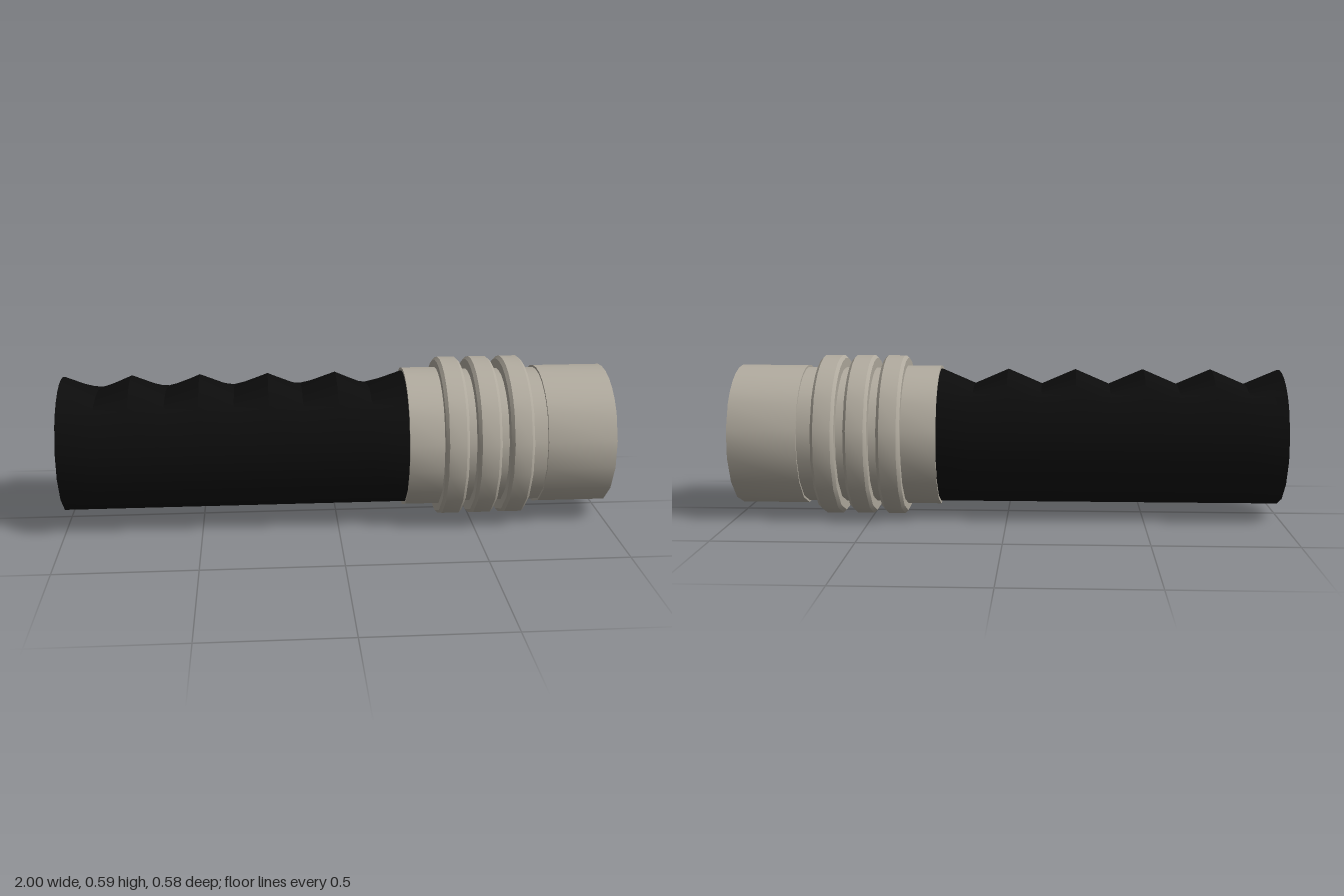
import * as THREE from 'three';
import { toCreasedNormals } from 'three/addons/utils/BufferGeometryUtils.js';

const CENTER_Y = 0.292;

// Sixteen-sided outline with extra points along the top arc, in degrees
const angles = [];
for (let a = 45; a <= 135; a += 11.25) angles.push(a);
for (let a = 146.25; a < 400; a += 22.5) angles.push(a);

// Closed loft along x; each section is [x, radius, dip of the top]
function loft(sections) {
  const n = angles.length;
  const pos = [];
  const index = [];
  for (const [x, r, dip = 0] of sections) {
    for (const deg of angles) {
      const t = THREE.MathUtils.degToRad(deg);
      const fall = THREE.MathUtils.smoothstep(Math.sin(t), 0.6, 0.99);
      pos.push(x, r * Math.sin(t) - dip * fall, r * Math.cos(t));
    }
  }
  for (let i = 0; i < sections.length - 1; i++) {
    for (let j = 0; j < n; j++) {
      const k = (j + 1) % n;
      const a = i * n + j, b = a + n, d = i * n + k, c = d + n;
      index.push(a, b, d, b, c, d);
    }
  }
  // Flat end caps
  const low = pos.length / 3, high = low + 1;
  const last = (sections.length - 1) * n;
  pos.push(sections[0][0], 0, 0, sections[sections.length - 1][0], 0, 0);
  for (let j = 0; j < n; j++) {
    const k = (j + 1) % n;
    index.push(low, j, k, high, last + k, last + j);
  }
  const g = new THREE.BufferGeometry();
  g.setAttribute('position', new THREE.Float32BufferAttribute(pos, 3));
  g.setIndex(index);
  return toCreasedNormals(g, THREE.MathUtils.degToRad(32));
}

export function createModel() {
  const group = new THREE.Group();
  const metal = new THREE.MeshStandardMaterial({ color: 0xb0aa9e });
  metal.name = 'warm grey metal';
  const rubber = new THREE.MeshStandardMaterial({ color: 0x0c0c0c });
  rubber.name = 'black rubber';

  const add = (name, sections, material) => {
    const mesh = new THREE.Mesh(loft(sections), material);
    mesh.name = name;
    mesh.position.y = CENTER_Y;
    group.add(mesh);
  };

  // Grip with five finger grooves along the top
  const grip = [];
  for (let i = 0; i <= 10; i++) grip.push([-1 + i * 0.125, 0.249, i % 2 ? 0.054 : 0]);
  add('grip', grip, rubber);

  // Collar, narrow neck between the rings, and end piece
  add('collar', [[0.25, 0.26], [0.385, 0.26]], metal);
  add('neck', [[0.38, 0.252], [0.755, 0.252]], metal);
  add('endPiece', [[0.75, 0.26], [1, 0.26]], metal);

  // Three bevelled rings
  [0.417, 0.534, 0.651].forEach((x, i) => {
    const h = 0.042, b = 0.011;
    add('ring' + (i + 1), [
      [x - h, 0.287], [x - h + b, 0.298], [x + h - b, 0.298], [x + h, 0.287],
    ], metal);
  });

  return group;
}
